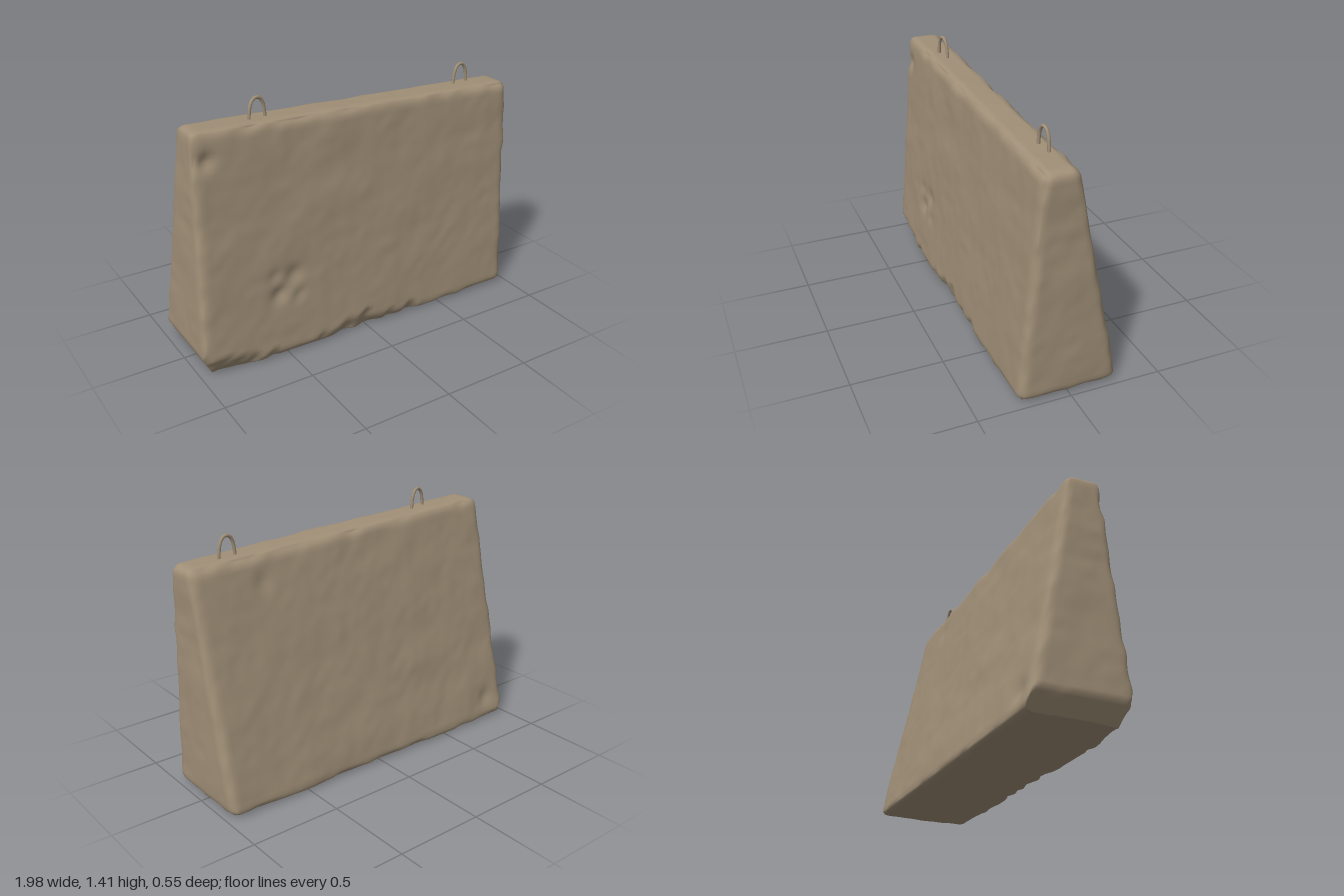
import * as THREE from 'three';
import { mergeVertices } from 'three/addons/utils/BufferGeometryUtils.js';

const { lerp, clamp, smoothstep } = THREE.MathUtils;

// Seeded lattice value noise in -1..1
function hash(x, y, z) {
  const s = Math.sin(x * 127.1 + y * 311.7 + z * 74.7) * 43758.5453;
  return (s - Math.floor(s)) * 2 - 1;
}
function noise(x, y, z) {
  const i = Math.floor(x), j = Math.floor(y), k = Math.floor(z);
  const a = smoothstep(x - i, 0, 1), b = smoothstep(y - j, 0, 1), c = smoothstep(z - k, 0, 1);
  const row = (m, n) => lerp(hash(i, m, n), hash(i + 1, m, n), a);
  const plane = (n) => lerp(row(j, n), row(j + 1, n), b);
  return lerp(plane(k), plane(k + 1), c);
}

// Height of the broken lower front edge along x
const chips = [[-1, 0.18], [-0.85, 0.13], [-0.65, 0.08], [-0.4, 0.035], [-0.2, 0.06], [0, 0.12],
  [0.12, 0.06], [0.28, 0.075], [0.45, 0.02], [0.8, 0.02], [1, 0.07]];
function chipHeight(x) {
  for (let i = 1; i < chips.length; i++) {
    const [x0, h0] = chips[i - 1], [x1, h1] = chips[i];
    if (x <= x1) return lerp(h0, h1, clamp((x - x0) / (x1 - x0), 0, 1));
  }
  return chips[chips.length - 1][1];
}

// Dents: x, y, radius, depth, face (1 front, -1 back)
const dents = [[-0.88, 1.17, 0.06, 0.025, 1], [-0.45, 0.46, 0.07, 0.02, 1], [-0.54, 0.37, 0.06, 0.022, 1],
  [-0.56, 0.48, 0.05, 0.01, 1], [-0.42, 0.34, 0.05, 0.01, 1], [0.6, 1.12, 0.07, 0.01, -1], [-0.85, 0.14, 0.07, 0.015, -1]];

function blockGeometry() {
  let geo = new THREE.BoxGeometry(2, 2, 2, 90, 60, 24);
  geo.deleteAttribute('uv');
  geo.deleteAttribute('normal');
  geo = mergeVertices(geo);
  const pos = geo.attributes.position;
  const r = 0.045, hy = 0.66;
  const p = new THREE.Vector3(), q = new THREE.Vector3();

  // Tapered, round-edged wedge with a sloping top
  for (let i = 0; i < pos.count; i++) {
    p.fromBufferAttribute(pos, i);
    const t = (p.y + 1) / 2;
    const d = lerp(0.278, 0.092, t);
    p.set(p.x, p.y * hy, p.z * d);
    q.set(clamp(p.x, r - 1, 1 - r), clamp(p.y, r - hy, hy - r), clamp(p.z, r - d, d - r));
    p.sub(q);
    if (p.lengthSq() > 0) p.setLength(r);
    p.add(q);
    const s = (p.x + 1) / 2;
    const x = lerp(lerp(-0.995, -0.945, t), lerp(0.975, 0.99, t), s);
    const y = 0.008 + (p.y + hy) / (2 * hy) * lerp(1.312, 1.24, s);
    pos.setXYZ(i, x, y, p.z + lerp(-0.004, 0.083, t));
  }
  geo.computeVertexNormals();

  // Weathering along the normals, dents and broken edges
  const nor = geo.attributes.normal;
  for (let i = 0; i < pos.count; i++) {
    p.fromBufferAttribute(pos, i);
    q.fromBufferAttribute(nor, i);
    const edge = 1 - Math.max(Math.abs(q.x), Math.abs(q.y), Math.abs(q.z));
    let push = 0.005 * noise(p.x * 6, p.y * 6, p.z * 6) + 0.002 * noise(p.x * 17, p.y * 17, p.z * 17);
    push += edge * 0.04 * noise(p.x * 11 + 5, p.y * 11, p.z * 11);
    if (q.y > 0.8) push *= 0.5;
    for (const [x, y, rad, depth, face] of dents) {
      if (q.z * face > 0.5) push -= depth * Math.exp(-((p.x - x) ** 2 + (p.y - y) ** 2) * 2 / rad ** 2);
    }
    p.addScaledVector(q, push);
    const h = chipHeight(p.x) + 0.02 * noise(p.x * 14, 3, 7);
    if (p.y < h) {
      const cut = 0.275 - 0.55 * (h - p.y) + 0.01 * noise(p.x * 20, p.y * 20, 2);
      p.z = Math.min(p.z, cut);
    }
    p.x = Math.max(p.x, -1 + 0.5 * Math.max(0, 0.14 - p.y));
    p.y = Math.max(p.y, 0.003);
    pos.setXYZ(i, p.x, p.y, p.z);
  }
  geo.computeVertexNormals();
  return geo;
}

export function createModel() {
  const model = new THREE.Group();
  model.name = 'concreteBarrier';
  const concrete = new THREE.MeshStandardMaterial({ color: 0xa08f77 });
  concrete.name = 'sandy concrete';

  const block = new THREE.Mesh(blockGeometry(), concrete);
  block.name = 'block';
  model.add(block);

  // Lifting loops on the top
  const outline = [[-0.05, -0.05], [-0.047, 0.01], [-0.037, 0.06], [-0.018, 0.087], [0, 0.092],
    [0.018, 0.087], [0.037, 0.06], [0.047, 0.01], [0.05, -0.05]];
  const curve = new THREE.CatmullRomCurve3(outline.map(([x, y]) => new THREE.Vector3(x, y, 0)));
  const loopGeo = new THREE.TubeGeometry(curve, 32, 0.009, 10);
  for (const [name, x, y, z, turn] of [['rightLiftingLoop', -0.555, 1.317, 0.09, 0.17],
    ['leftLiftingLoop', 0.735, 1.273, 0.06, 0.09]]) {
    const loop = new THREE.Mesh(loopGeo, concrete);
    loop.name = name;
    loop.position.set(x, y, z);
    loop.rotation.y = turn;
    model.add(loop);
  }
  return model;
}
